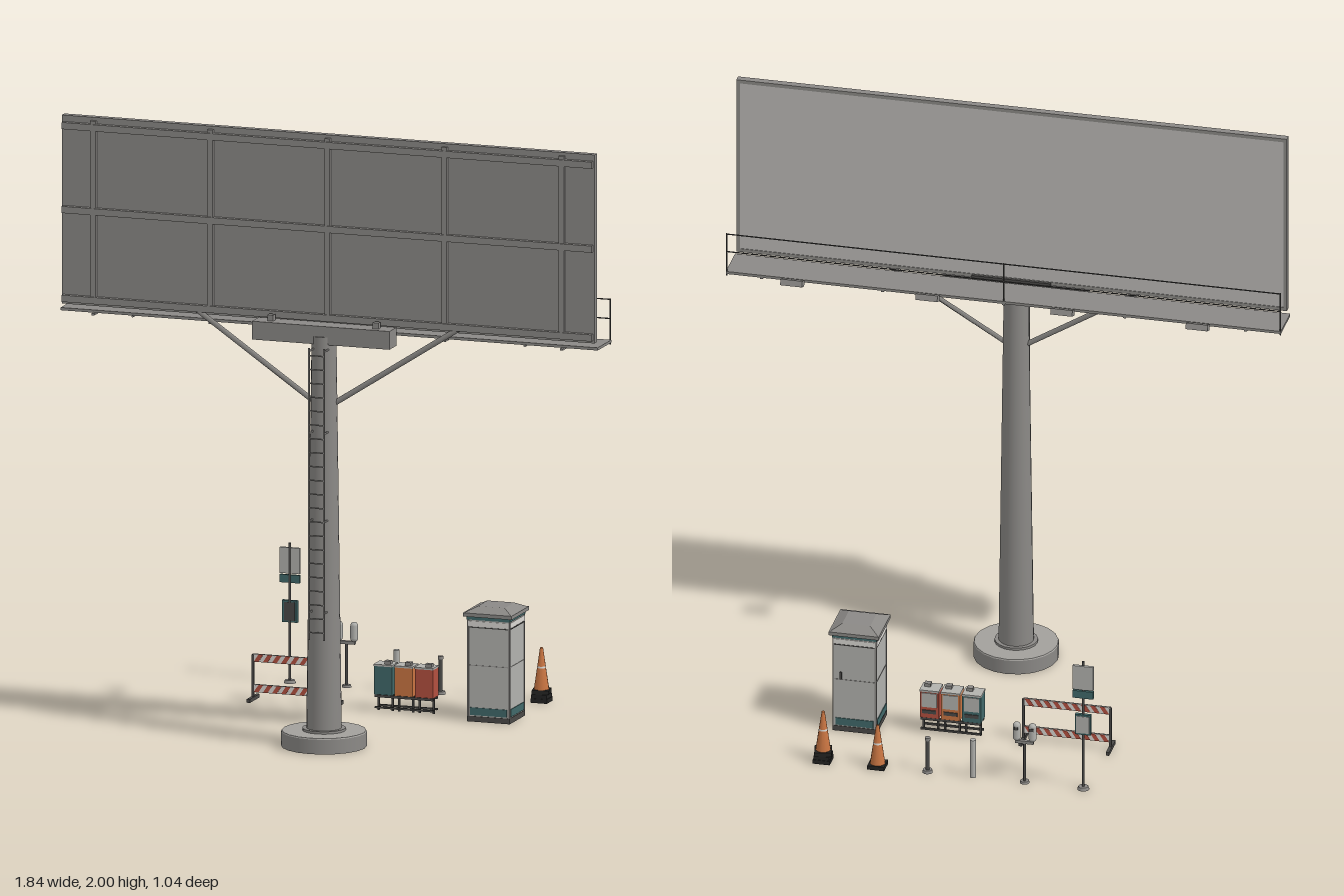
import * as THREE from 'three';

const mat = (name, color) => {
  const m = new THREE.MeshStandardMaterial({ color });
  m.name = name;
  return m;
};

export function createModel() {
  const steel = mat('steel', 0x8b8986), face = mat('board face', 0xbbb9b6), dark = mat('dark metal', 0x4a4947),
    light = mat('light grey', 0xb2b2ae), white = mat('white', 0xdad8d3), orange = mat('orange', 0xc97542),
    red = mat('red', 0xb3503f), teal = mat('teal', 0x41696a), black = mat('black', 0x232322),
    concrete = mat('concrete', 0xa2a09c);

  const root = new THREE.Group();
  root.name = 'roadsideBillboard';
  const group = (name, x = 0, y = 0, z = 0) => {
    const g = new THREE.Group();
    g.name = name;
    g.position.set(x, y, z);
    root.add(g);
    return g;
  };
  const add = (g, name, geo, m, x = 0, y = 0, z = 0) => {
    const o = new THREE.Mesh(geo, m);
    o.name = name;
    o.position.set(x, y, z);
    g.add(o);
    return o;
  };
  const box = (g, name, m, w, h, d, x, y, z) => add(g, name, new THREE.BoxGeometry(w, h, d), m, x, y, z);
  // Upright cylinder standing on y
  const cyl = (g, name, m, rt, rb, h, x, y, z, n = 12) =>
    add(g, name, new THREE.CylinderGeometry(rt, rb, h, n), m, x, y + h / 2, z);
  // Round or square bar between two points
  const bar = (g, name, m, a, b, r, n = 6) => {
    const p = new THREE.Vector3(...a), q = new THREE.Vector3(...b), dir = q.clone().sub(p);
    const o = add(g, name, new THREE.CylinderGeometry(r, r, dir.length(), n), m);
    o.position.copy(p).add(q).multiplyScalar(0.5);
    o.quaternion.setFromUnitVectors(new THREE.Vector3(0, 1, 0), dir.normalize());
    return o;
  };

  // Column with footing and head beam
  const column = group('column', 0, 0, 0.384);
  cyl(column, 'footing', steel, 0.138, 0.138, 0.048, 0, 0, 0, 20);
  cyl(column, 'footingTop', concrete, 0.136, 0.138, 0.004, 0, 0.048, 0, 20);
  cyl(column, 'footCollar', steel, 0.07, 0.07, 0.01, 0, 0.05, 0, 20);
  cyl(column, 'pole', steel, 0.04, 0.057, 1.29, 0, 0.06, 0, 20);
  box(column, 'headBeam', steel, 0.47, 0.06, 0.066, 0, 1.355, -0.001);
  for (const s of [-1, 1]) {
    box(column, 'beamStud', steel, 0.02, 0.02, 0.02, s * 0.18, 1.395, 0);
    bar(column, 'brace', steel, [s * 0.03, 1.125, -0.004], [s * 0.455, 1.4, -0.035], 0.009, 4);
  }

  // Ladder on the front of the column
  const ladder = group('ladder', 0, 0, 0.455);
  for (const s of [-1, 1]) {
    box(ladder, 'ladderRail', steel, 0.005, 0.96, 0.005, s * 0.025, 0.84, 0);
    for (const y of [0.45, 0.75, 1.04, 1.31]) box(ladder, 'ladderBracket', steel, 0.004, 0.005, 0.05, s * 0.025, y, -0.024);
  }
  for (let i = 0; i < 21; i++) box(ladder, 'rung', steel, 0.05, 0.004, 0.004, 0, 0.385 + i * 0.0455, 0);

  // Board, its framing and the display face towards the back
  const board = group('board');
  box(board, 'boardPanel', steel, 1.81, 0.615, 0.018, 0, 1.69, 0.334);
  box(board, 'displayFace', face, 1.797, 0.602, 0.004, 0, 1.69, 0.324);
  for (const s of [-1, 1]) {
    box(board, 'sideEdge', steel, 0.012, 0.62, 0.024, s * 0.904, 1.69, 0.332);
    box(board, 'longEdge', steel, 1.82, 0.012, 0.024, 0, 1.69 + s * 0.304, 0.332);
  }
  for (let i = -2; i <= 2; i++) box(board, 'uprightRib', steel, 0.018, 0.6, 0.014, i * 0.4, 1.69, 0.349);
  for (const y of [1.968, 1.692, 1.4]) box(board, 'crossRib', steel, 1.81, 0.022, 0.016, 0, y, 0.352);

  // Service walkway behind the board
  const walkway = group('walkway');
  box(walkway, 'deck', steel, 1.835, 0.009, 0.13, 0, 1.36, 0.27);
  box(walkway, 'deckSupport', dark, 0.26, 0.012, 0.02, 0, 1.385, 0.32);
  for (let i = -1; i <= 1; i++) bar(walkway, 'railPost', dark, [i * 0.915, 1.35, 0.208], [i * 0.915, 1.5, 0.208], 0.0025);
  for (const y of [1.435, 1.498]) bar(walkway, 'handRail', dark, [-0.915, y, 0.208], [0.915, y, 0.208], 0.002);
  for (const x of [-0.8, -0.4, 0, 0.4, 0.8]) box(walkway, 'deckBracket', steel, 0.01, 0.006, 0.15, x, 1.354, 0.28);

  // Floodlights on arms
  for (const x of [-0.67, -0.223, 0.223, 0.67]) {
    const lamp = group('floodlight', x, 0, 0);
    bar(lamp, 'lampFoot', steel, [0, 1.354, 0.34], [0, 1.356, 0.205], 0.004);
    bar(lamp, 'lampArm', dark, [0, 1.356, 0.21], [0, 1.405, 0.095], 0.004);
    box(lamp, 'lampHead', steel, 0.072, 0.02, 0.034, 0, 1.41, 0.09).rotation.x = 0.35;
  }

  // Kiosk cabinet
  const kiosk = group('kiosk', 0.379, 0, -0.197);
  box(kiosk, 'plinth', dark, 0.146, 0.018, 0.146, 0, 0.009, 0);
  box(kiosk, 'kioskBody', light, 0.142, 0.335, 0.142, 0, 0.183, 0);
  box(kiosk, 'kioskTopBand', teal, 0.148, 0.012, 0.148, 0, 0.341, 0);
  for (let i = 0; i < 4; i++) {
    const side = new THREE.Group();
    side.name = 'kioskSide';
    side.rotation.y = i * Math.PI / 2;
    kiosk.add(side);
    box(side, 'lowerPanel', teal, 0.125, 0.025, 0.004, 0, 0.034, 0.0715);
    box(side, 'headPanel', white, 0.138, 0.018, 0.004, 0, 0.322, 0.0715);
    box(side, 'middleSeam', steel, 0.136, 0.002, 0.002, 0, 0.185, 0.0712);
    box(side, 'upperSeam', dark, 0.136, 0.003, 0.003, 0, 0.31, 0.0715);
    box(side, 'cornerPost', steel, 0.006, 0.318, 0.006, 0.07, 0.176, 0.07);
  }
  box(kiosk, 'doorHandle', dark, 0.006, 0.025, 0.006, 0.045, 0.2, -0.074);
  box(kiosk, 'roofSlab', steel, 0.166, 0.012, 0.166, 0, 0.352, 0);
  const roof = new THREE.CylinderGeometry(0.065, 0.115, 0.018, 4).toNonIndexed();
  roof.computeVertexNormals();
  add(kiosk, 'roof', roof, steel, 0, 0.366, 0).rotation.y = Math.PI / 4;

  // Row of vending boxes on a shared stand
  const boxes = group('vendingBoxes', 0.073, 0, -0.195);
  [teal, orange, red].forEach((m, i) => {
    const x = (i - 1) * 0.07;
    box(boxes, 'vendingBox', m, 0.063, 0.095, 0.052, x, 0.103, 0);
    box(boxes, 'vendingLid', light, 0.064, 0.006, 0.058, x, 0.152, 0);
    box(boxes, 'vendingWindow', light, 0.05, 0.05, 0.004, x, 0.12, -0.027);
    box(boxes, 'vendingTray', dark, 0.046, 0.012, 0.004, x, 0.078, -0.027);
    box(boxes, 'coinBox', steel, 0.02, 0.012, 0.02, x + 0.012, 0.16, 0.008);
    for (const s of [-1, 1]) box(boxes, 'standLeg', dark, 0.007, 0.056, 0.007, x + s * 0.024, 0.028, 0);
  });
  for (const s of [-1, 1]) {
    box(boxes, 'standRail', dark, 0.2, 0.008, 0.008, 0, 0.05, s * 0.02);
    box(boxes, 'standFoot', dark, 0.2, 0.006, 0.007, 0, 0.012, s * 0.018);
  }

  // Barricade with stripes on both faces of its planks
  const barricade = group('barricade', -0.307, 0, -0.197);
  const slash = new THREE.Shape([[-0.016, -0.012], [0, -0.012], [0.016, 0.012], [0, 0.012]].map(p => new THREE.Vector2(...p)));
  const stripe = new THREE.ExtrudeGeometry(slash, { depth: 0.009, bevelEnabled: false }).translate(0, 0, -0.0045);
  for (const y of [0.14, 0.04]) {
    box(barricade, 'plank', steel, 0.29, 0.026, 0.006, 0, y, 0);
    box(barricade, 'plankFace', white, 0.284, 0.0235, 0.0076, 0, y, 0);
    for (let i = -4; i <= 4; i++) add(barricade, 'plankStripe', stripe, red, i * 0.031, y, 0);
  }
  for (const s of [-1, 1]) {
    box(barricade, 'barricadePost', dark, 0.008, 0.15, 0.009, s * 0.144, 0.075, 0);
    box(barricade, 'barricadeFoot', dark, 0.011, 0.012, 0.09, s * 0.144, 0.006, 0);
  }

  // Traffic cones: a single one and a stacked pair
  const cone = (g, y, turn = 0) => {
    box(g, 'coneBase', black, 0.056, 0.014, 0.056, 0, y + 0.007, 0).rotation.y = turn;
    cyl(g, 'coneBody', orange, 0.005, 0.025, 0.136, 0, y + 0.014, 0, 12);
    cyl(g, 'coneBand', white, 0.0125, 0.0148, 0.014, 0, y + 0.084, 0, 12);
  };
  cone(group('cone', 0.25, 0, -0.488), 0);
  const stack = group('stackedCones', 0.43, 0, -0.488);
  cone(stack, 0);
  box(stack, 'coneSpacer', black, 0.052, 0.014, 0.052, 0, 0.02, 0);
  cone(stack, 0.028, 0.2);

  // Stop sign post with boards
  const sign = group('signPost', -0.43, 0, -0.488);
  cyl(sign, 'signBase', steel, 0.016, 0.02, 0.01, 0, 0, 0);
  cyl(sign, 'signPole', dark, 0.0045, 0.0045, 0.46, 0, 0, 0, 8);
  box(sign, 'signBoard', light, 0.068, 0.085, 0.01, 0, 0.402, -0.002);
  box(sign, 'signStrip', teal, 0.068, 0.026, 0.01, 0, 0.342, -0.002);
  box(sign, 'timetable', teal, 0.052, 0.072, 0.012, 0, 0.235, -0.003);
  box(sign, 'timetableBack', dark, 0.036, 0.06, 0.003, 0, 0.235, 0.003);
  box(sign, 'timetableSheet', light, 0.044, 0.06, 0.003, 0, 0.235, -0.009);

  // Double parking meter
  const meter = group('parkingMeter', -0.236, 0, -0.488);
  cyl(meter, 'meterBase', steel, 0.014, 0.016, 0.008, 0, 0, 0);
  cyl(meter, 'meterPole', dark, 0.005, 0.005, 0.145, 0, 0, 0, 8);
  box(meter, 'meterArm', steel, 0.06, 0.01, 0.012, 0, 0.147, 0);
  for (const s of [-1, 1]) {
    add(meter, 'meterHead', new THREE.CapsuleGeometry(0.013, 0.04, 4, 12), light, s * 0.026, 0.183, 0);
    box(meter, 'meterScreen', dark, 0.012, 0.01, 0.004, s * 0.026, 0.197, -0.0125);
  }

  // Bollards
  cyl(group('paleBollard', -0.065, 0, -0.488), 'paleTube', light, 0.01, 0.01, 0.135, 0, 0, 0);
  const post = group('flexPost', 0.085, 0, -0.488);
  cyl(post, 'flexBase', steel, 0.015, 0.017, 0.01, 0, 0, 0);
  cyl(post, 'flexTube', dark, 0.006, 0.007, 0.11, 0, 0.008, 0);
  cyl(post, 'flexCap', steel, 0.009, 0.009, 0.01, 0, 0.115, 0);

  return root;
}
